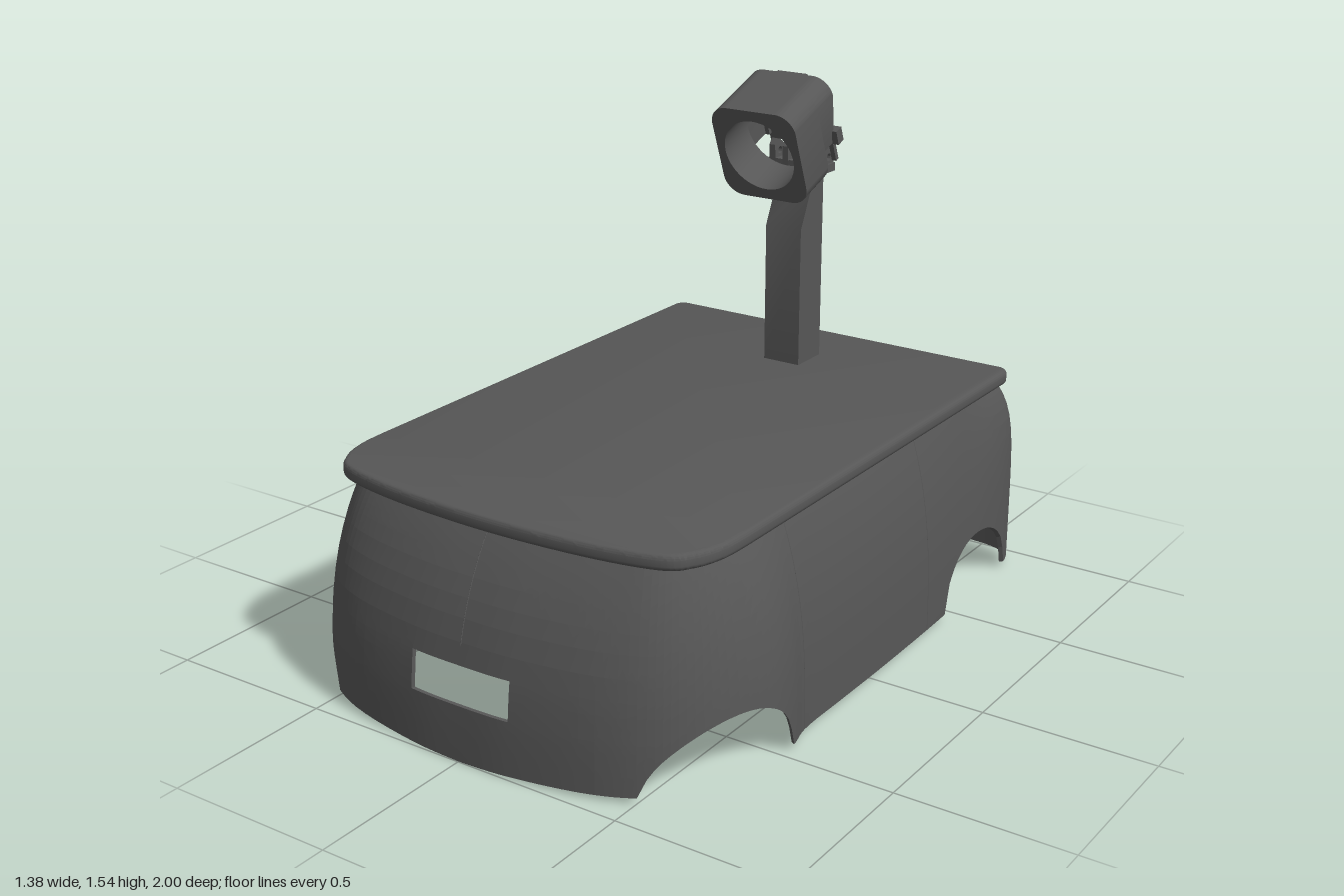
import * as THREE from 'three';
import { toCreasedNormals } from 'three/addons/utils/BufferGeometryUtils.js';

const material = new THREE.MeshStandardMaterial({ color: 0x575757, side: THREE.DoubleSide });

function part(parent, name, geometry, x = 0, y = 0, z = 0, crease = 0.5) {
  const mesh = new THREE.Mesh(toCreasedNormals(geometry, crease), material);
  mesh.name = name;
  mesh.position.set(x, y, z);
  parent.add(mesh);
}
const box = (w, h, d) => new THREE.BoxGeometry(w, h, d);
const extrude = (shape, depth) => new THREE.ExtrudeGeometry(shape, { depth, bevelEnabled: false, curveSegments: 24 });
const polygon = (pts) => new THREE.Shape(pts.map(([x, y]) => new THREE.Vector2(x, y)));
const rectHole = (x0, y0, x1, y1) => polygon([[x0, y0], [x0, y1], [x1, y1], [x1, y0]]);

// Half outline of the body, front centre to rear centre: low x, z and high x, z
const HALF = [
  [0, 0.998, 0, 0.85], [0.16, 0.992, 0.16, 0.845], [0.4, 0.948, 0.36, 0.82], [0.52, 0.893, 0.47, 0.79],
  [0.595, 0.825, 0.53, 0.74], [0.655, 0.72, 0.57, 0.67], [0.693, 0.56, 0.585, 0.55], [0.685, 0.46, 0.59, 0.46],
  [0.667, 0.38, 0.59, 0.38], [0.665, 0.18, 0.59, 0.18], [0.665, -0.02, 0.59, -0.02], [0.66, -0.32, 0.59, -0.32],
  [0.656, -0.44, 0.59, -0.44], [0.65, -0.58, 0.59, -0.58], [0.645, -0.72, 0.59, -0.72], [0.636, -0.86, 0.59, -0.83],
  [0.605, -0.95, 0.575, -0.88], [0.53, -0.985, 0.52, -0.895], [0.16, -0.998, 0.16, -0.9], [0, -1, 0, -0.9],
];
const SUB = 5, TOP = 0.6;
const LOOP = [...HALF, ...HALF.slice(1, -1).reverse().map(([a, b, c, d]) => [-a, b, -c, d])];
const N = LOOP.length * SUB;
const outline = (k) => {
  const curve = new THREE.CatmullRomCurve3(LOOP.map((p) => new THREE.Vector3(p[k], 0, p[k + 1])), true);
  return Array.from({ length: N }, (_, i) => curve.getPoint(i / N));
};
const low = outline(0), high = outline(2);

// Point on the body wall at column i and height y; the rear is more upright
function wallPoint(i, y, inner = false) {
  const s = Math.min(1, Math.max(0, (TOP - y) / TOP));
  const power = 2.8 + 4.2 * THREE.MathUtils.smoothstep(-low[i % N].z, 0.6, 0.96);
  const p = high[i % N].clone().lerp(low[i % N], 1 - (1 - s) ** power);
  if (inner) p.multiply(new THREE.Vector3(0.984, 1, 0.989));
  return p.setY(y);
}

// Lower edge of the wall, raised over the wheels
function lowerEdge(i) {
  let y = 0.1;
  for (let n = 0; n < 4; n++) {
    const { x, z } = wallPoint(i, y);
    y = 0.018 * Math.min(1, Math.abs(x) / 0.6);
    for (const c of [0.685, -0.655]) {
      const d = Math.abs(z - c) / 0.215;
      if (d < 1) y = 0.02 + 0.182 * Math.sqrt(1 - d * d);
    }
  }
  return y;
}

// Thin wall with wheel arches and rectangular windows
function wallGeometry() {
  const rows = [0, 0.07, 0.13, 0.16, 0.23, 0.27, 0.33, 0.39, 0.44, 0.49, 0.53, 0.56, 0.58, TOP];
  const base = Array.from({ length: N }, (_, i) => lowerEdge(i));
  const at = (i, j, inner) => wallPoint(i, Math.max(rows[j], base[i % N]), inner);
  const solid = (i, j) => {
    i = (i + N) % N;
    if (j < 0 || j > rows.length - 2) return false;
    if (Math.min(base[i], base[(i + 1) % N]) >= rows[j + 1]) return false;
    const y = (rows[j] + rows[j + 1]) / 2;
    const c = wallPoint(i, y).lerp(wallPoint(i + 1, y), 0.5);
    const endWindow = Math.abs(c.x) < 0.16 && y > 0.16 && y < 0.27;
    const sideWindow = c.x < -0.5 && c.z > -0.02 && c.z < 0.18 && y > 0.13 && y < 0.23;
    return !endWindow && !sideWindow;
  };
  const pos = [];
  const quad = (a, b, c, d) => [a, b, c, a, c, d].forEach((p) => pos.push(p.x, p.y, p.z));
  for (let i = 0; i < N; i++) {
    for (let j = 0; j < rows.length - 1; j++) {
      if (!solid(i, j)) continue;
      const [a, b, c, d] = [[i, j], [i + 1, j], [i + 1, j + 1], [i, j + 1]].map(([u, v]) => [at(u, v, false), at(u, v, true)]);
      quad(a[0], b[0], c[0], d[0]);
      quad(b[1], a[1], d[1], c[1]);
      const rim = (p, q) => quad(p[0], p[1], q[1], q[0]);
      if (!solid(i, j - 1)) rim(a, b);
      if (!solid(i + 1, j)) rim(b, c);
      if (!solid(i, j + 1)) rim(c, d);
      if (!solid(i - 1, j)) rim(d, a);
    }
  }
  const g = new THREE.BufferGeometry();
  g.setAttribute('position', new THREE.Float32BufferAttribute(pos, 3));
  return g;
}

// Fine panel seam following the wall
function seamGeometry(i, y0, y1) {
  const pts = Array.from({ length: 9 }, (_, n) => wallPoint(i, y0 + ((y1 - y0) * n) / 8));
  return new THREE.TubeGeometry(new THREE.CatmullRomCurve3(pts), 16, 0.0013, 4);
}

function lidGeometry() {
  const s = new THREE.Shape();
  s.moveTo(-0.57, -0.895);
  s.lineTo(0.57, -0.895);
  s.quadraticCurveTo(0.594, -0.895, 0.594, -0.865);
  s.lineTo(0.594, 0.58);
  s.splineThru([[0.588, 0.67], [0.56, 0.75], [0.5, 0.805], [0.3, 0.845], [0, 0.862], [-0.3, 0.845],
    [-0.5, 0.805], [-0.56, 0.75], [-0.588, 0.67], [-0.594, 0.58]].map(([x, y]) => new THREE.Vector2(x, y)));
  s.lineTo(-0.594, -0.865);
  s.quadraticCurveTo(-0.594, -0.895, -0.57, -0.895);
  const g = new THREE.ExtrudeGeometry(s, { depth: 0.017, bevelThickness: 0.014, bevelSize: 0.014, bevelSegments: 4, curveSegments: 30 });
  return g.rotateX(Math.PI / 2);
}

function addPillar(group) {
  // Side profile, swept across the width
  const profile = polygon([[-0.675, 0.64], [-0.565, 0.64], [-0.565, 1.07], [-0.635, 1.22], [-0.635, 1.25], [-0.675, 1.25]]);
  part(group, 'pillar', extrude(profile, 0.122).rotateY(-Math.PI / 2), 0.061);
  const back = polygon([[-0.061, 0.64], [0.061, 0.64], [0.061, 1.25], [-0.061, 1.25]]);
  back.holes.push(new THREE.Path().absarc(0, 1.15, 0.04, 0, Math.PI * 2, true));
  part(group, 'pillarBackPanel', extrude(back, 0.015), 0, 0, -0.69);
}

function addHead(group) {
  const head = new THREE.Group();
  head.name = 'head';
  head.position.set(0, 1.318, -0.422);
  head.rotation.x = 0.366;
  group.add(head);

  // Rounded hood with a round opening
  const w = 0.142, h = 0.15, r = 0.06;
  const front = new THREE.Shape();
  front.absarc(w - r, h - r, r, 0, Math.PI / 2);
  front.absarc(r - w, h - r, r, Math.PI / 2, Math.PI);
  front.absarc(r - w, r - h, r, Math.PI, Math.PI * 1.5);
  front.absarc(w - r, r - h, r, Math.PI * 1.5, Math.PI * 2);
  front.closePath();
  front.holes.push(new THREE.Path().absarc(0, 0, 0.116, 0, Math.PI * 2, true));
  part(head, 'hood', extrude(front, 0.13), 0, 0, -0.13);

  // Rear of the hood, open below
  const rear = new THREE.Shape();
  rear.moveTo(w, -0.07);
  rear.absarc(w - r, h - r, r, 0, Math.PI / 2);
  rear.absarc(r - w, h - r, r, Math.PI / 2, Math.PI);
  rear.lineTo(-w, -0.07);
  rear.lineTo(-0.116, -0.07);
  rear.lineTo(-0.116, 0);
  rear.absarc(0, 0, 0.116, Math.PI, 0, true);
  rear.lineTo(0.116, -0.07);
  part(head, 'hoodRear', extrude(rear, 0.09), 0, 0, -0.22);

  // Back plate with a vent slot and hinge cut-outs
  const plate = polygon([[-0.11, -0.14], [0.11, -0.14], [0.11, 0.1], [0.085, 0.135], [-0.085, 0.135], [-0.11, 0.1]]);
  plate.holes.push(rectHole(-0.06, 0.075, 0.06, 0.1));
  for (const x of [-0.06, 0, 0.06]) plate.holes.push(rectHole(x - 0.024, -0.125, x + 0.024, -0.09));
  part(head, 'backPlate', extrude(plate, 0.014), 0, 0, -0.236);
  for (const side of [-1, 1]) {
    part(head, 'clip', box(0.035, 0.045, 0.03), side * 0.12, -0.05, -0.225);
    part(head, 'upperClip', box(0.02, 0.03, 0.02), side * 0.11, 0.06, -0.235);
  }
  part(head, 'topClip', box(0.1, 0.015, 0.02), 0, 0.13, -0.235);

  // Hinge lugs with a pin hole, between pillar and head
  const lug = polygon([[-0.69, 1.235], [-0.635, 1.235], [-0.632, 1.3], [-0.645, 1.318], [-0.675, 1.305], [-0.69, 1.28]]);
  lug.holes.push(new THREE.Path().absarc(-0.661, 1.28, 0.011, 0, Math.PI * 2, true));
  for (const x of [-0.085, -0.04, 0.04, 0.085])
    part(group, 'hingeLug', extrude(lug, 0.02).rotateY(-Math.PI / 2), x + 0.01);
  part(group, 'hingeBase', box(0.2, 0.025, 0.055), 0, 1.247, -0.6625);
}

export function createModel() {
  const model = new THREE.Group();
  model.name = 'mobileCart';
  part(model, 'bodyShell', wallGeometry(), 0, 0, 0, 0.06);
  part(model, 'lid', lidGeometry(), 0, 0.631, 0);

  // Seams at the front, rear and both flanks
  part(model, 'frontSeam', seamGeometry(0, 0.32, TOP));
  part(model, 'rearSeam', seamGeometry(19 * SUB, 0.32, TOP));
  for (const k of [8, 11])
    for (const i of [k * SUB, N - k * SUB]) part(model, 'sideSeam', seamGeometry(i, 0.02, TOP));

  // Small bracket inside the flank with the window
  part(model, 'innerBracket', box(0.09, 0.015, 0.2), -0.61, 0.3, -0.13);
  part(model, 'innerBracketTab', box(0.06, 0.03, 0.1), -0.6, 0.32, -0.13);

  addPillar(model);
  addHead(model);
  return model;
}
